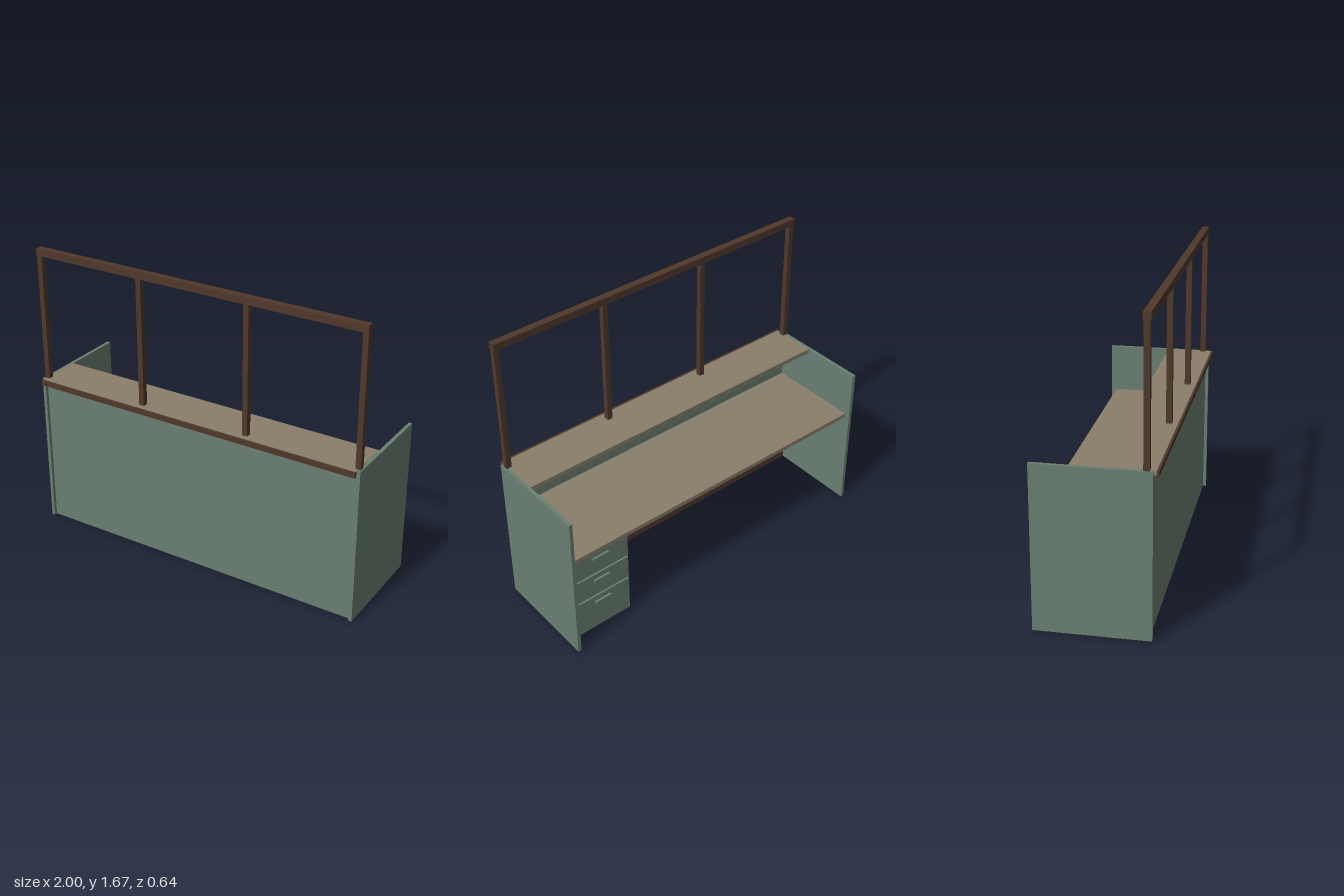
import * as THREE from 'three';

export function createModel() {
  const model = new THREE.Group();
  model.name = 'receptionDesk';

  const mat = (name, color) => {
    const m = new THREE.MeshStandardMaterial({ color });
    m.name = name;
    return m;
  };
  const green = mat('sage green panel', 0x6a7f72);
  const tan = mat('tan worktop', 0x8a7f6a);
  const brown = mat('dark brown wood', 0x50382b);

  // Box given by its extents on each axis
  function box(name, material, [x0, x1], [y0, y1], [z0, z1], parent = model) {
    const mesh = new THREE.Mesh(new THREE.BoxGeometry(x1 - x0, y1 - y0, z1 - z0), material);
    mesh.position.set((x0 + x1) / 2, (y0 + y1) / 2, (z0 + z1) / 2);
    mesh.name = name;
    parent.add(mesh);
    return mesh;
  }

  // Carcass: end panels and front panel
  box('leftSidePanel', green, [0.98, 1], [0, 0.9], [-0.32, 0.29]);
  box('rightSidePanel', green, [-1, -0.98], [0, 0.9], [-0.32, 0.29]);
  box('frontPanel', green, [-0.98, 0.98], [0, 0.876], [0.25, 0.272]);
  box('baseboard', brown, [-0.98, 0.98], [0, 0.06], [0.2, 0.25]);

  // Work surface and raised counter with its front edge strip
  box('worktop', tan, [-0.98, 0.98], [0.595, 0.62], [-0.29, 0.25]);
  box('counter', tan, [-0.98, 0.98], [0.876, 0.902], [0.04, 0.304]);
  box('counterEdge', brown, [-0.985, 0.985], [0.872, 0.902], [0.304, 0.316]);

  // Screen frame: four posts and a top rail
  const frame = new THREE.Group();
  frame.name = 'screenFrame';
  model.add(frame);
  for (const x of [-0.978, -0.326, 0.326, 0.978]) {
    box('post', brown, [x - 0.015, x + 0.015], [0.9, 1.632], [0.241, 0.272], frame);
  }
  box('topRail', brown, [-0.994, 0.994], [1.632, 1.672], [0.236, 0.276], frame);

  // Drawer pedestal
  const pedestal = new THREE.Group();
  pedestal.name = 'drawerPedestal';
  model.add(pedestal);
  box('pedestalBody', green, [0.585, 0.955], [0, 0.595], [-0.23, 0.19], pedestal);
  for (let i = 0; i < 3; i++) {
    const y = 0.1 + i * 0.157;
    box('drawerFront', green, [0.595, 0.945], [y, y + 0.135], [-0.24, -0.23], pedestal);
    box('drawerHandle', green, [0.72, 0.82], [y + 0.085, y + 0.103], [-0.253, -0.24], pedestal);
  }

  return model;
}
